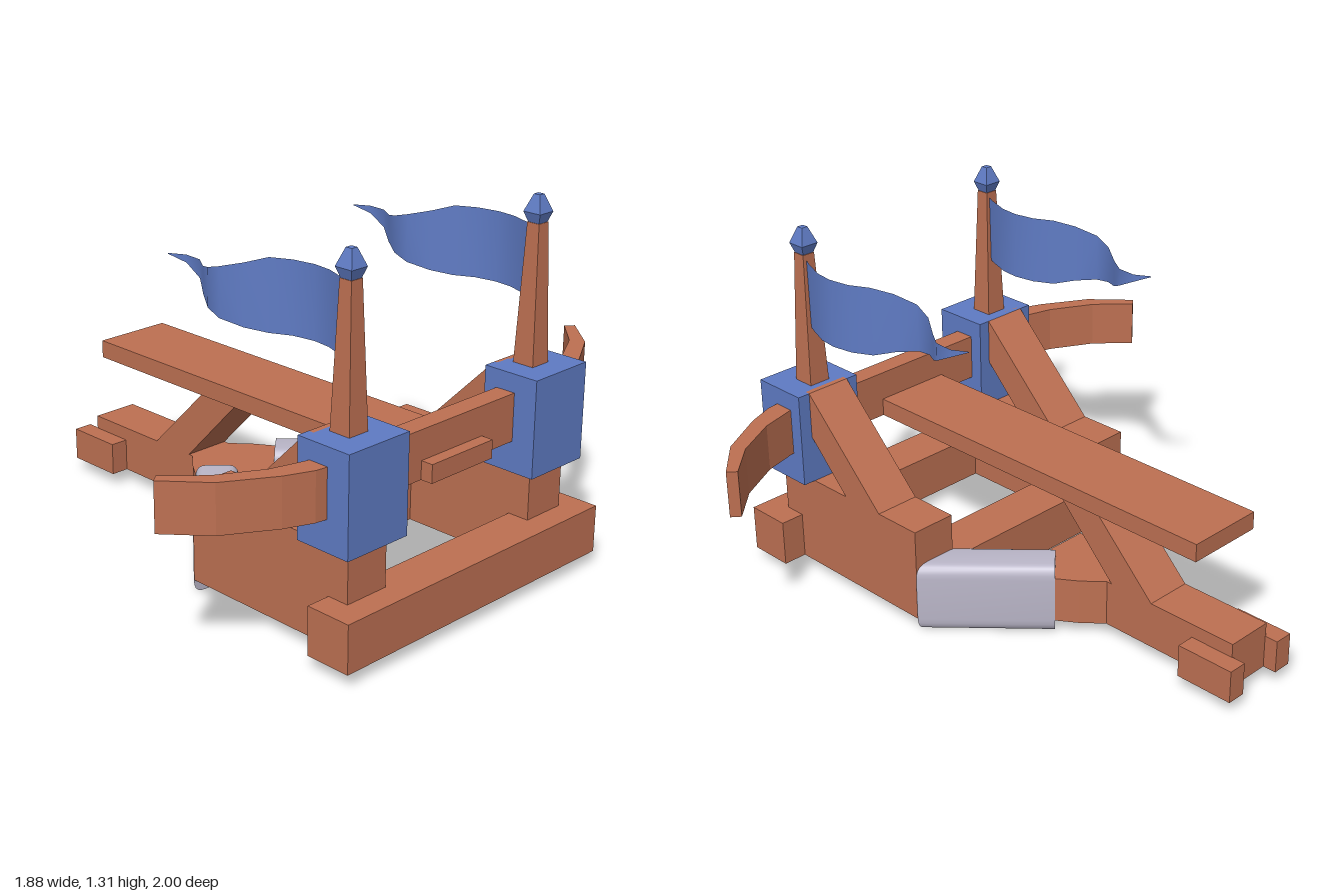
import * as THREE from 'three';
import { toCreasedNormals } from 'three/addons/utils/BufferGeometryUtils.js';

const material = (name, color, side = THREE.FrontSide) => {
  const m = new THREE.MeshStandardMaterial({ color, side });
  m.name = name;
  return m;
};

export function createModel() {
  const wood = material('wood', 0xbd7052);
  const blue = material('blue', 0x5f7bc4, THREE.DoubleSide);
  const metal = material('metal', 0xbab6c8);
  const model = new THREE.Group();
  model.name = 'ballista';

  const add = (name, geometry, mat) => {
    const mesh = new THREE.Mesh(geometry, mat);
    mesh.name = name;
    model.add(mesh);
    return mesh;
  };
  // Box given by its limits on each axis
  const box = (name, mat, [x0, x1], [y0, y1], [z0, z1]) =>
    add(name, new THREE.BoxGeometry(x1 - x0, y1 - y0, z1 - z0), mat)
      .position.set((x0 + x1) / 2, (y0 + y1) / 2, (z0 + z1) / 2);
  const shapeOf = (pts) => new THREE.Shape(pts.map(([a, b]) => new THREE.Vector2(a, b)));
  // Side outline (x, y) extruded across z
  const sidePiece = (name, pts, [z0, z1]) =>
    add(name, new THREE.ExtrudeGeometry(shapeOf(pts), { depth: z1 - z0, bevelEnabled: false })
      .translate(0, 0, z0), wood);
  // Plan outline (x, z) extruded up y
  const planPiece = (name, pts, [y0, y1]) =>
    add(name, new THREE.ExtrudeGeometry(shapeOf(pts.map(([x, z]) => [x, -z])),
      { depth: y1 - y0, bevelEnabled: false }).rotateX(-Math.PI / 2).translate(0, y0, 0), wood);
  const span = (s, a, b) => (s > 0 ? [a, b] : [-b, -a]);

  // Base frame
  box('frontCrossbeam', wood, [0.77, 0.94], [0.05, 0.22], [-0.61, 0.61]);
  box('middleCrossbeam', wood, [0.15, 0.33], [0.05, 0.22], [-0.36, 0.36]);
  box('rearBeam', wood, [-0.89, -0.05], [0.05, 0.22], [-0.088, 0.088]);

  // Firing plank and the slanted strut that carries it
  box('plank', wood, [-0.77, 0.85], [0.505, 0.57], [-0.146, 0.146]);
  sidePiece('plankStrut', [[-0.55, 0.21], [-0.37, 0.21], [-0.08, 0.51], [-0.25, 0.51]], [-0.088, 0.088]);

  // Bow: straight centre, curved tapering arms
  box('bowCentre', wood, [0.73, 0.805], [0.505, 0.675], [-0.57, 0.57]);

  for (const s of [1, -1]) {
    const side = s > 0 ? 'left' : 'right';

    planPiece(side + 'BowArm', [[0.73, 0.57], [0.805, 0.57], [0.8, 0.61], [0.76, 0.71], [0.66, 0.88],
      [0.525, 1], [0.5, 0.97], [0.61, 0.855], [0.695, 0.7]].map(([x, z]) => [x, s * z]), [0.505, 0.675]);

    box(side + 'RearBlock', wood, [-0.94, -0.72], [0.05, 0.17], span(s, 0.085, 0.155));
    box(side + 'SideBeam', wood, [0.15, 0.85], [0.05, 0.395], span(s, 0.35, 0.52));
    planPiece(side + 'DiagonalBeam', [[-0.34, 0.088], [-0.27, 0.15], [-0.195, 0.2], [0.15, 0.51], [0.15, 0.33],
      [-0.1, 0.088]].map(([x, z]) => [x, s * z]), [0.05, 0.22]);
    sidePiece(side + 'TowerBrace', [[0.33, 0.39], [0.505, 0.39], [0.7, 0.59], [0.7, 0.74], [0.68, 0.74]],
      span(s, 0.35, 0.52));
    box(side + 'Tower', blue, [0.68, 0.893], [0.395, 0.74], span(s, 0.305, 0.567));

    // Rounded metal cover wrapped around the diagonal beam
    const w = 0.21, h = 0.26, r = 0.05;
    const cover = new THREE.Shape();
    cover.moveTo(s * r, 0);
    cover.lineTo(s * (w - r), 0);
    cover.quadraticCurveTo(s * w, 0, s * w, r);
    cover.lineTo(s * w, h - r);
    cover.quadraticCurveTo(s * w, h, s * (w - r), h);
    cover.lineTo(s * r, h);
    cover.quadraticCurveTo(0, h, 0, h - r);
    cover.lineTo(0, r);
    cover.quadraticCurveTo(0, 0, s * r, 0);
    const coverGeo = new THREE.ExtrudeGeometry(cover, { depth: 1, bevelEnabled: false, curveSegments: 5 });
    const p = coverGeo.attributes.position;
    for (let i = 0; i < p.count; i++) {
      const d = s * p.getX(i);
      const x = p.getZ(i) > 0.5 ? 0.15 : -0.2 + d / 2;
      p.setXYZ(i, x, p.getY(i), s * (0.92 * x + 0.384 - d));
    }
    add(side + 'MetalCover', toCreasedNormals(coverGeo, 0.7), metal);

    // Square flagpole with a pointed finial
    const px = 0.765, pz = s * 0.435;
    const taper = (name, mat, top, bottom, y0, y1) =>
      add(name, new THREE.CylinderGeometry(top * Math.SQRT2, bottom * Math.SQRT2, y1 - y0, 4)
        .rotateY(Math.PI / 4).toNonIndexed(), mat).position.set(px, (y0 + y1) / 2, pz);
    taper(side + 'Flagpole', wood, 0.024, 0.041, 0.735, 1.22);
    taper(side + 'FinialBase', blue, 0.034, 0.022, 1.22, 1.255);
    taper(side + 'FinialTip', blue, 0.012, 0.034, 1.255, 1.313);
    model.children.slice(-3).forEach((m) => m.geometry.computeVertexNormals());

    // Waving flag, tapering to a point: x, bottom, top, sideways offset
    const rows = [[0.765, 0.955, 1.2, 0], [0.7, 0.955, 1.2, -0.03], [0.62, 0.955, 1.2, -0.06],
      [0.55, 0.955, 1.2, -0.068], [0.47, 0.955, 1.2, -0.055], [0.4, 0.955, 1.2, -0.02],
      [0.34, 0.97, 1.18, 0.03], [0.26, 0.988, 1.157, 0.06], [0.19, 1.003, 1.136, 0.045],
      [0.12, 1.02, 1.115, 0], [0.06, 1.052, 1.115, -0.04], [-0.01, 1.088, 1.115, -0.045],
      [-0.065, 1.112, 1.115, -0.015]];
    const flag = new THREE.PlaneGeometry(1, 1, rows.length - 1, 1);
    rows.forEach(([x, low, high, dz], i) => {
      flag.attributes.position.setXYZ(i, x, high, pz + dz);
      flag.attributes.position.setXYZ(i + rows.length, x, low, pz + dz);
    });
    flag.computeVertexNormals();
    add(side + 'Flag', flag, blue);
  }
  return model;
}
